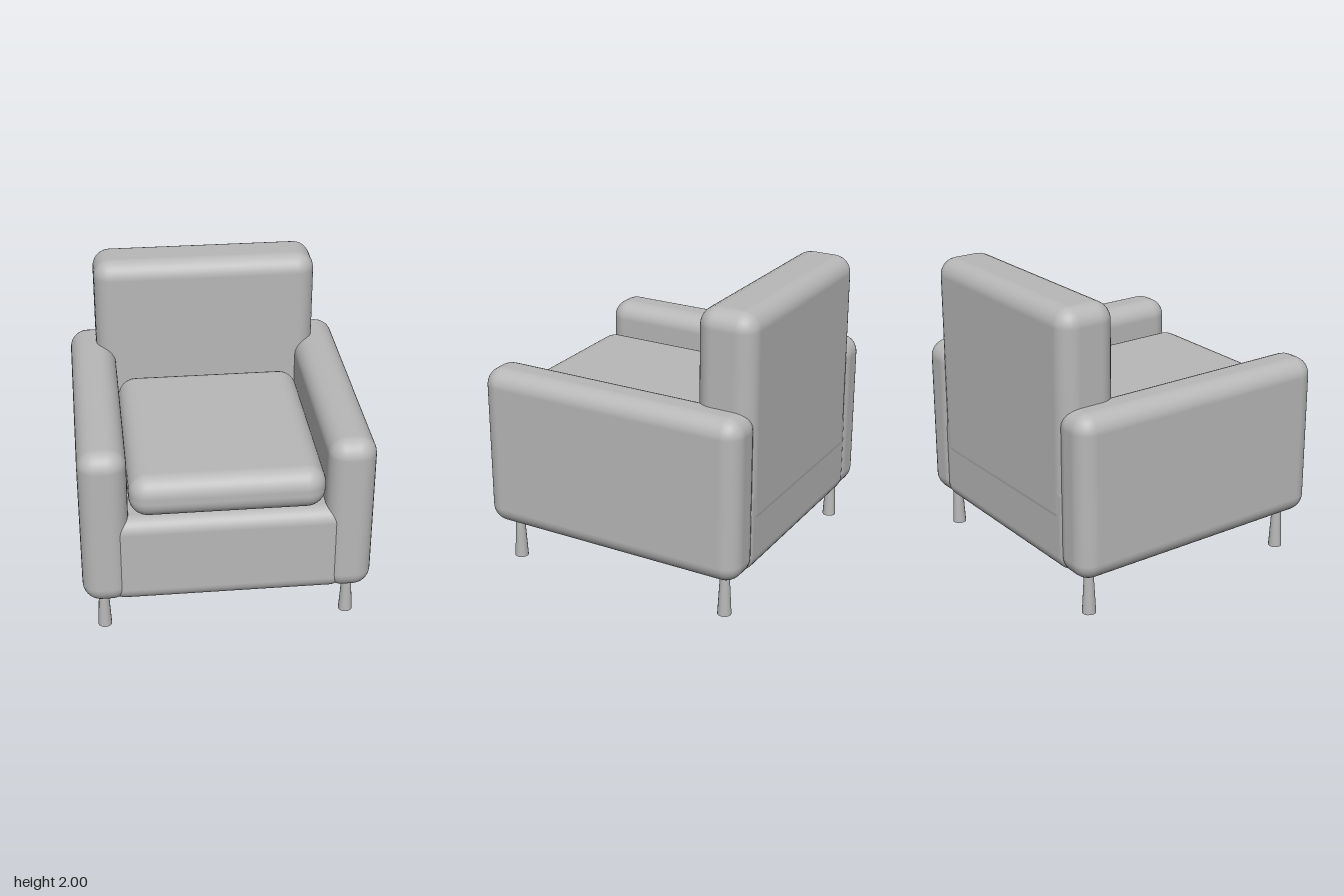
import * as THREE from 'three';
import { RoundedBoxGeometry } from 'three/addons/geometries/RoundedBoxGeometry.js';

export function createModel() {
  const chair = new THREE.Group();
  chair.name = 'armchair';
  const upholstery = new THREE.MeshStandardMaterial({ color: 0xb8b8b8 });
  upholstery.name = 'grey';

  // Soft block given by its lower and upper corners
  function block(name, min, max, radius) {
    const size = max.map((v, i) => v - min[i]);
    const mesh = new THREE.Mesh(new RoundedBoxGeometry(...size, 4, radius), upholstery);
    mesh.position.set(...max.map((v, i) => (v + min[i]) / 2));
    mesh.name = name;
    chair.add(mesh);
  }

  block('base', [-0.77, 0.27, -0.942], [0.77, 0.89, 0.93], 0.1);
  block('seatCushion', [-0.63, 0.895, -0.55], [0.63, 1.18, 0.94], 0.125);
  block('backrest', [-0.765, 0.55, -0.945], [0.765, 2, -0.545], 0.12);
  block('rightArm', [-0.945, 0.27, -0.945], [-0.635, 1.38, 0.945], 0.12);
  block('leftArm', [0.635, 0.27, -0.945], [0.945, 1.38, 0.945], 0.12);

  // Legs flare slightly towards the floor
  const legGeometry = new THREE.CylinderGeometry(0.03, 0.046, 0.3, 16);
  for (const x of [-0.81, 0.81]) {
    for (const z of [-0.81, 0.77]) {
      const leg = new THREE.Mesh(legGeometry, upholstery);
      leg.position.set(x, 0.15, z);
      leg.name = (z > 0 ? 'front' : 'back') + (x > 0 ? 'Left' : 'Right') + 'Leg';
      chair.add(leg);
    }
  }
  return chair;
}
